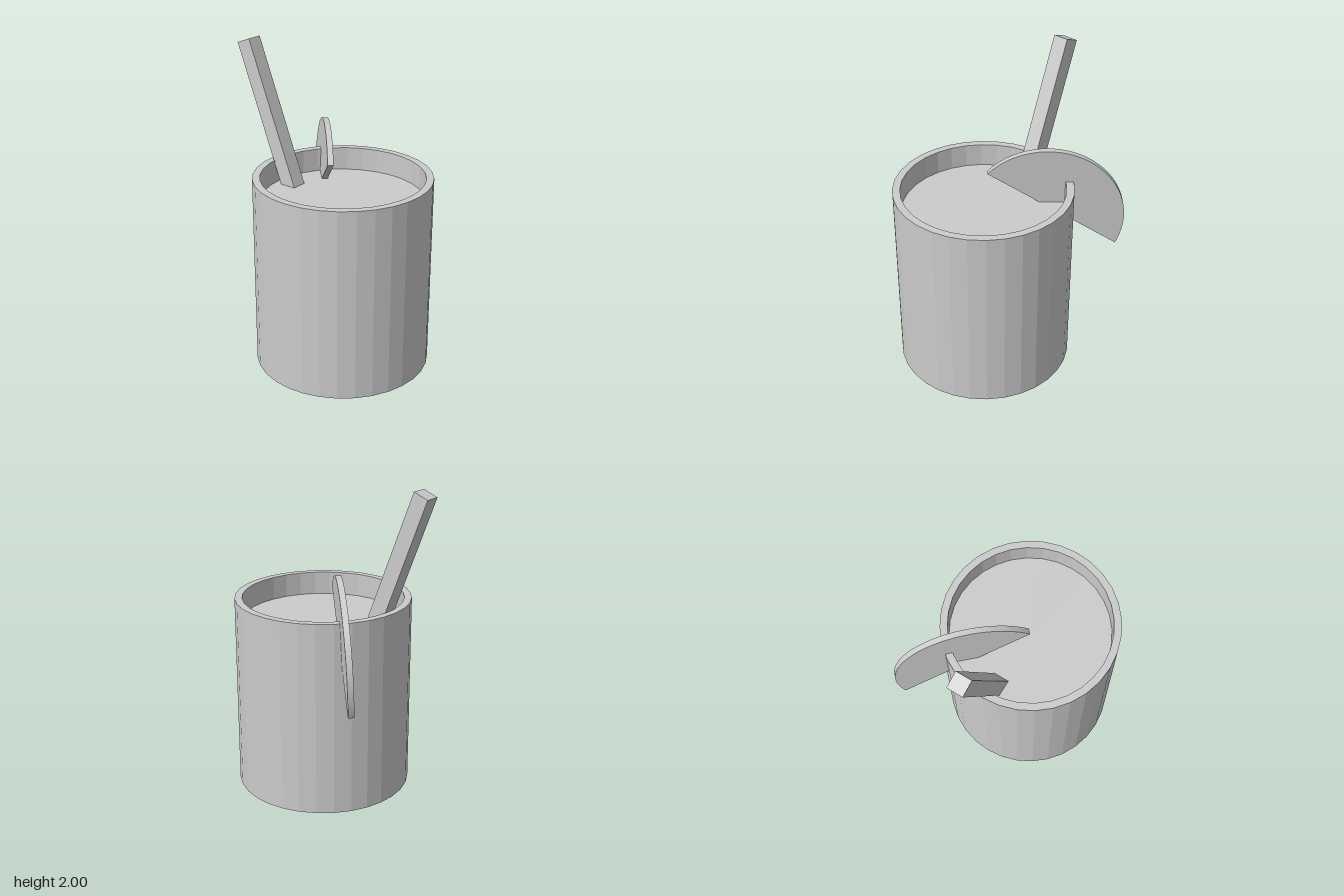
import * as THREE from 'three';

const material = new THREE.MeshStandardMaterial({ color: 0xcccccc, flatShading: true });

function part(name, geometry) {
  const mesh = new THREE.Mesh(geometry, material);
  mesh.name = name;
  return mesh;
}

export function createModel() {
  const group = new THREE.Group();
  group.name = 'drink';
  const sides = 32, cx = 0.115, cz = 0.01;

  // Hollow cup: base, outer wall, flat rim, inner wall, inner floor
  const profile = [[0, 0], [0.557, 0], [0.557, 1.24], [0.51, 1.24], [0.51, 0.05], [0, 0.05]]
    .map(([x, y]) => new THREE.Vector2(x, y));
  const cup = part('cup', new THREE.LatheGeometry(profile, sides));
  cup.position.set(cx, 0, cz);
  group.add(cup);

  // Drink filling the cup to just below the rim
  const liquid = part('liquid', new THREE.CylinderGeometry(0.509, 0.509, 1.04, sides));
  liquid.position.set(cx, 0.57, cz);
  group.add(liquid);

  // Square straw, leaning out to the side
  const tilt = 0.365, length = 1.2, width = 0.101;
  const straw = part('straw', new THREE.BoxGeometry(width, length, width).translate(0, -length / 2, 0));
  straw.position.set(-0.6275, 1.982, 0.01);
  straw.rotation.z = tilt;
  group.add(straw);

  // Fruit slice: circular segment, its cut edge running along local x
  const halfChord = 0.486, drop = 0.075, thick = 0.037;
  const radius = Math.hypot(halfChord, drop);
  const start = Math.asin(drop / radius);
  const shape = new THREE.Shape();
  shape.absarc(0, -drop, radius, start, Math.PI - start, false);
  shape.closePath();
  const slice = part('fruitSlice', new THREE.ExtrudeGeometry(shape, {
    depth: thick, bevelEnabled: false, curveSegments: 28,
  }).translate(0, 0, -thick / 2));

  // Set it diagonally over the rim, leaning slightly backwards
  const along = new THREE.Vector3(0.569, 0.53, 0.583).normalize();
  const flat = new THREE.Vector3(-0.707, 0.07, 0.707);
  const normal = flat.addScaledVector(along, -flat.dot(along)).normalize();
  const up = new THREE.Vector3().crossVectors(normal, along);
  slice.quaternion.setFromRotationMatrix(new THREE.Matrix4().makeBasis(along, up, normal));
  slice.position.set(-0.24, 1.035, -0.249);
  group.add(slice);

  return group;
}
